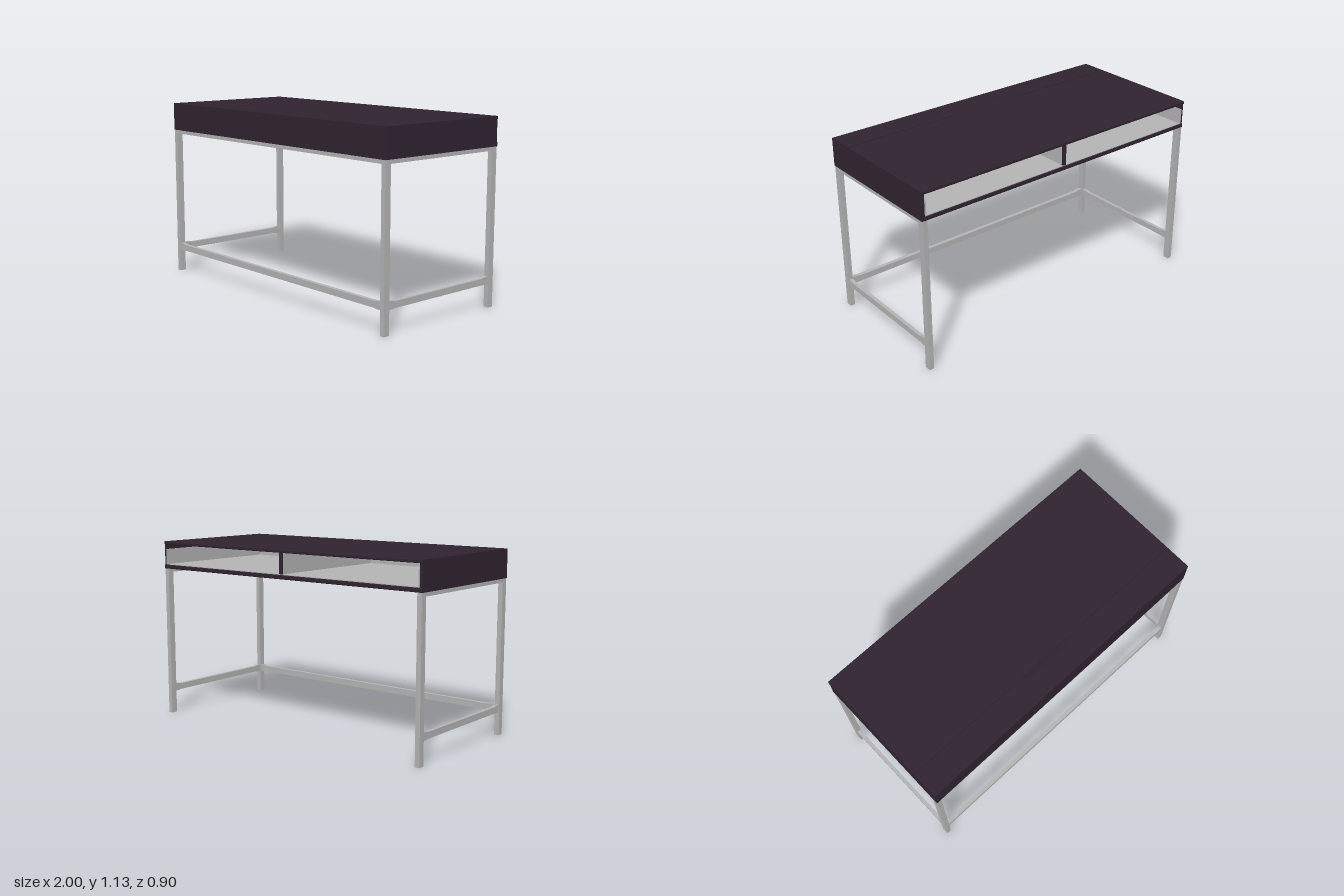
import * as THREE from 'three';

export function createModel() {
  const desk = new THREE.Group();
  desk.name = 'desk';
  const wood = new THREE.MeshStandardMaterial({ color: 0x2f2330 });
  wood.name = 'dark plum wood';
  const grey = new THREE.MeshStandardMaterial({ color: 0xb3b3b3, side: THREE.DoubleSide });
  grey.name = 'light grey';

  function add(name, geometry, material) {
    const mesh = new THREE.Mesh(geometry, material);
    mesh.name = name;
    desk.add(mesh);
    return mesh;
  }
  // box given by its limits on each axis
  function block(name, [x0, x1], [y0, y1], [z0, z1], material) {
    const g = new THREE.BoxGeometry(x1 - x0, y1 - y0, z1 - z0);
    g.translate((x0 + x1) / 2, (y0 + y1) / 2, (z0 + z1) / 2);
    return add(name, g, material);
  }
  function extrude(shape, depth) {
    const g = new THREE.ExtrudeGeometry(shape, { depth, bevelEnabled: false, curveSegments: 5 });
    return g.translate(0, 0, -depth / 2);
  }
  // board running across x with soft edges at chosen ends
  function board(name, width, y0, y1, z0, z1, rBack, rFront) {
    const a = -z1, b = -z0, s = new THREE.Shape();
    s.moveTo(a + rFront, y0);
    s.lineTo(b - rBack, y0);
    s.quadraticCurveTo(b, y0, b, y0 + rBack);
    s.lineTo(b, y1 - rBack);
    s.quadraticCurveTo(b, y1, b - rBack, y1);
    s.lineTo(a + rFront, y1);
    s.quadraticCurveTo(a, y1, a, y1 - rFront);
    s.lineTo(a, y0 + rFront);
    s.quadraticCurveTo(a, y0, a + rFront, y0);
    return add(name, extrude(s, width).rotateY(Math.PI / 2), wood);
  }
  // stretcher bar that flares slightly where it meets the legs
  function stretcher(half, depth) {
    const s = new THREE.Shape();
    [[-half, 0.142], [-half + 0.03, 0.142], [-half + 0.05, 0.145],
      [half - 0.05, 0.145], [half - 0.03, 0.142], [half, 0.142],
      [half, 0.19], [half - 0.025, 0.19], [half - 0.055, 0.184],
      [-half + 0.055, 0.184], [-half + 0.025, 0.19], [-half, 0.19]]
      .forEach(([x, y], i) => (i ? s.lineTo(x, y) : s.moveTo(x, y)));
    return extrude(s, depth);
  }

  // metal frame: legs, top rails and low stretchers
  for (const side of [1, -1]) {
    const x = side > 0 ? [0.967, 0.997] : [-0.997, -0.967];
    block('frontLeg', x, [0, 0.958], [0.412, 0.452], grey);
    block('backLeg', x, [0, 0.958], [-0.448, -0.408], grey);
    block('sideRail', x, [0.935, 0.958], [-0.408, 0.412], grey);
    const bar = add('sideStretcher', stretcher(0.41, 0.022).rotateY(Math.PI / 2), grey);
    bar.position.set(side * 0.982, 0, 0.002);
  }
  block('frontRail', [-0.967, 0.967], [0.935, 0.958], [0.425, 0.45], grey);
  add('frontStretcher', stretcher(0.967, 0.026), grey).position.z = 0.434;

  // body: bottom board, sides and front
  board('bottomBoard', 2, 0.958, 0.984, -0.45, 0.453, 0.006, 0);
  for (const side of [1, -1]) {
    const x = side > 0 ? [0.98, 0.999] : [-0.999, -0.98];
    block('sidePanel', x, [0.984, 1.114], [-0.446, 0.435], wood);
  }
  block('frontPanel', [-1, 1], [0.984, 1.114], [0.435, 0.453], wood);
  block('dividerEdge', [-0.012, 0.012], [0.984, 1.114], [-0.446, -0.436], wood);

  // grey lining of the two compartments, open at the back
  block('compartmentFloor', [-0.98, 0.98], [0.984, 0.988], [-0.446, 0.43], grey);
  block('compartmentFront', [-0.98, 0.98], [0.988, 1.114], [0.428, 0.434], grey);
  block('divider', [-0.011, 0.011], [0.988, 1.114], [-0.436, 0.428], grey);
  for (const x of [[-0.981, -0.975], [0.975, 0.981]]) {
    block('compartmentSide', x, [0.988, 1.085], [-0.452, 0.428], grey);
  }

  // top: rear board and front strip with a shallow finger scoop
  const seam = 0.285, top = 1.134;
  board('topBoard', 2, 1.114, top, -0.45, seam - 0.003, 0.006, 0.006);
  const scoop = [[-0.26, 0], [-0.2, 0.012], [-0.13, 0.03], [-0.09, 0.034],
    [0.09, 0.034], [0.13, 0.03], [0.2, 0.012], [0.26, 0]];
  const strip = new THREE.Shape();
  strip.moveTo(-1, -0.453);
  strip.lineTo(1, -0.453);
  strip.lineTo(1, -seam);
  [...scoop].reverse().forEach(([x, d]) => strip.lineTo(x, -seam - d));
  strip.lineTo(-1, -seam);
  const stripGeometry = extrude(strip, top - 1.114).rotateX(-Math.PI / 2);
  add('frontStrip', stripGeometry.translate(0, (top + 1.114) / 2, 0), wood);

  // sloping floor of the scoop
  const pos = [], index = [];
  scoop.forEach(([x, d], i) => {
    pos.push(x, top - 0.3 * d, seam - 0.003, x, top - 0.001, seam + d);
    if (i) {
      const k = 2 * i;
      index.push(k - 2, k - 1, k, k, k - 1, k + 1);
    }
  });
  const ramp = new THREE.BufferGeometry();
  ramp.setAttribute('position', new THREE.Float32BufferAttribute(pos, 3));
  ramp.setIndex(index);
  ramp.computeVertexNormals();
  add('fingerScoop', ramp, wood);

  return desk;
}
